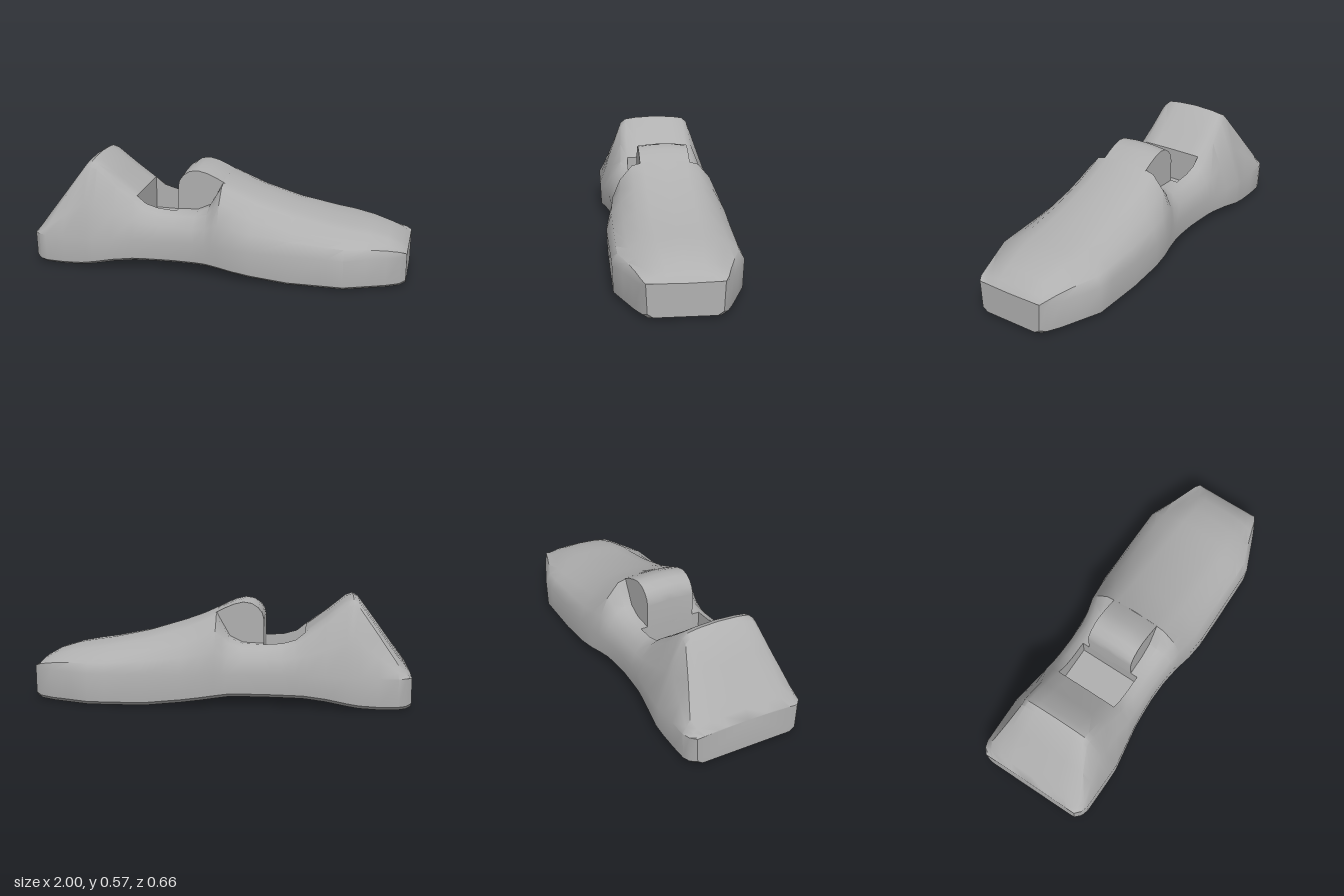
import * as THREE from 'three';
import { toCreasedNormals } from 'three/addons/utils/BufferGeometryUtils.js';

// Piecewise-linear lookup in [x, value] keys
function lookup(keys, x) {
  for (let i = 1; i < keys.length; i++) {
    const [x0, v0] = keys[i - 1], [x1, v1] = keys[i];
    if (x <= x1) return v0 + (v1 - v0) * (x - x0) / (x1 - x0);
  }
  return keys[keys.length - 1][1];
}

// Skin mirrored cross-sections { x, half: [[z, y], ...] } running along x, with capped ends
function loft(sections, crease) {
  const rings = sections.map(({ x, half }) => {
    const mirrored = half.slice(1).reverse().map(([z, y]) => [-z, y]);
    return [...half, ...mirrored].map(([z, y]) => new THREE.Vector3(x, y, z));
  });
  const pos = [];
  const e1 = new THREE.Vector3(), e2 = new THREE.Vector3();
  const tri = (a, b, c) => {
    if (e1.subVectors(b, a).cross(e2.subVectors(c, a)).length() < 1e-8) return;
    for (const p of [a, b, c]) pos.push(p.x, p.y, p.z);
  };
  const n = rings[0].length;
  for (let i = 0; i < rings.length - 1; i++) {
    for (let j = 0; j < n; j++) {
      const k = (j + 1) % n;
      const a = rings[i][j], b = rings[i][k], c = rings[i + 1][j], d = rings[i + 1][k];
      tri(a, b, c);
      tri(b, d, c);
    }
  }
  const back = rings[0], front = rings[rings.length - 1];
  for (let j = 1; j < n - 1; j++) {
    tri(back[0], back[j + 1], back[j]);
    tri(front[0], front[j], front[j + 1]);
  }
  const geo = new THREE.BufferGeometry();
  geo.setAttribute('position', new THREE.Float32BufferAttribute(pos, 3));
  return toCreasedNormals(geo, crease);
}

// Plan outline: half width of the hull
const WIDTH = [[-1, 0.285], [-0.98, 0.31], [-0.93, 0.325], [-0.66, 0.33], [-0.5, 0.305], [-0.4, 0.29],
  [-0.25, 0.28], [-0.1, 0.285], [0.02, 0.303], [0.1, 0.32], [0.2, 0.33], [0.69, 0.325], [0.96, 0.215], [1, 0.185]];
// Height of the underside
const UNDER = [[-1, 0.015], [-0.96, 0.003], [-0.77, 0], [-0.5, 0.045], [-0.05, 0.048], [0.38, 0], [0.96, 0], [1, 0.016]];

// Hull sections: x, centre height, deck edge z, y, shoulder z, y
const TAIL = [
  [-1.0, 0.18, 0.17, 0.18, 0.24, 0.172],
  [-0.97, 0.225, 0.2, 0.222, 0.27, 0.205],
  [-0.93, 0.28, 0.22, 0.27, 0.285, 0.235],
  [-0.83, 0.42, 0.2, 0.405, 0.24, 0.38],
  [-0.73, 0.555, 0.175, 0.542, 0.2, 0.52],
  [-0.7, 0.572, 0.172, 0.557, 0.2, 0.533],
  [-0.665, 0.56, 0.172, 0.545, 0.2, 0.522],
  [-0.56, 0.472, 0.175, 0.462, 0.208, 0.435],
  [-0.45, 0.385, 0.175, 0.383, 0.215, 0.357],
];
const COCKPIT = [
  [-0.45, 0.385, 0.175, 0.383, 0.215, 0.357],
  [-0.4, 0.345, 0.175, 0.342, 0.215, 0.325],
  [-0.33, 0.322, 0.175, 0.322, 0.215, 0.305],
  [-0.23, 0.315, 0.175, 0.315, 0.215, 0.298],
];
const NOSE = [
  [-0.23, 0.315, 0.175, 0.315, 0.215, 0.298],
  [-0.12, 0.32, 0.178, 0.32, 0.217, 0.302],
  [-0.05, 0.355, 0.18, 0.352, 0.225, 0.325],
  [-0.015, 0.42, 0.18, 0.41, 0.235, 0.36],
  [0.02, 0.495, 0.18, 0.467, 0.245, 0.39],
  [0.1, 0.458, 0.18, 0.433, 0.245, 0.36],
  [0.2, 0.422, 0.18, 0.393, 0.25, 0.322],
  [0.4, 0.361, 0.18, 0.335, 0.25, 0.28],
  [0.6, 0.318, 0.18, 0.298, 0.25, 0.255],
  [0.69, 0.305, 0.18, 0.285, 0.245, 0.245],
  [0.8, 0.286, 0.16, 0.268, 0.21, 0.237],
  [0.9, 0.255, 0.14, 0.242, 0.185, 0.22],
  [0.97, 0.217, 0.13, 0.211, 0.175, 0.2],
  [1.0, 0.182, 0.12, 0.182, 0.165, 0.178],
];
const FLOOR = 0.2;

// Full half section from one row; open rows drop the middle to the cockpit floor
function hullSection([x, yc, z2, y2, z3, y3], open) {
  const w = lookup(WIDTH, x), y0 = lookup(UNDER, x), belt = 0.17;
  const bulge = x > -0.5 ? 0.012 : 0;
  const middle = open
    ? [[0, FLOOR], [z2, FLOOR]]
    : [[0, yc], [z2 * 0.65, yc - (yc - y2) * 0.4]];
  return { x, half: [
    ...middle,
    [z2, y2],
    [z3, y3],
    [(z3 + w) / 2 + bulge, (y3 + belt) / 2 + bulge],
    [w, belt],
    [w - 0.006, y0 + 0.02],
    [w - 0.035, y0],
  ] };
}

export function createModel() {
  const model = new THREE.Group();
  model.name = 'racingCarBody';
  const bodyGrey = new THREE.MeshStandardMaterial({ color: 0xb0b0b0 });
  bodyGrey.name = 'bodyGrey';

  const add = (name, geometry) => {
    const mesh = new THREE.Mesh(geometry, bodyGrey);
    mesh.name = name;
    model.add(mesh);
  };

  // Hull with raised tail, sunken cockpit and long nose
  add('hull', loft([
    ...TAIL.map((r) => hullSection(r, false)),
    ...COCKPIT.map((r) => hullSection(r, true)),
    ...NOSE.map((r) => hullSection(r, false)),
  ], 0.65));

  // Rounded cowl in front of the cockpit
  const cowlTop = [[-0.23, 0.45], [-0.222, 0.485], [-0.2, 0.515], [-0.165, 0.538], [-0.12, 0.545],
    [-0.07, 0.533], [-0.02, 0.512], [0.02, 0.491], [0.06, 0.468]];
  add('cowl', loft(cowlTop.map(([x, y]) => ({
    x, half: [[0, y], [0.055, y - 0.001], [0.135, y - 0.01], [0.135, 0.21]],
  })), 0.65));

  return model;
}
